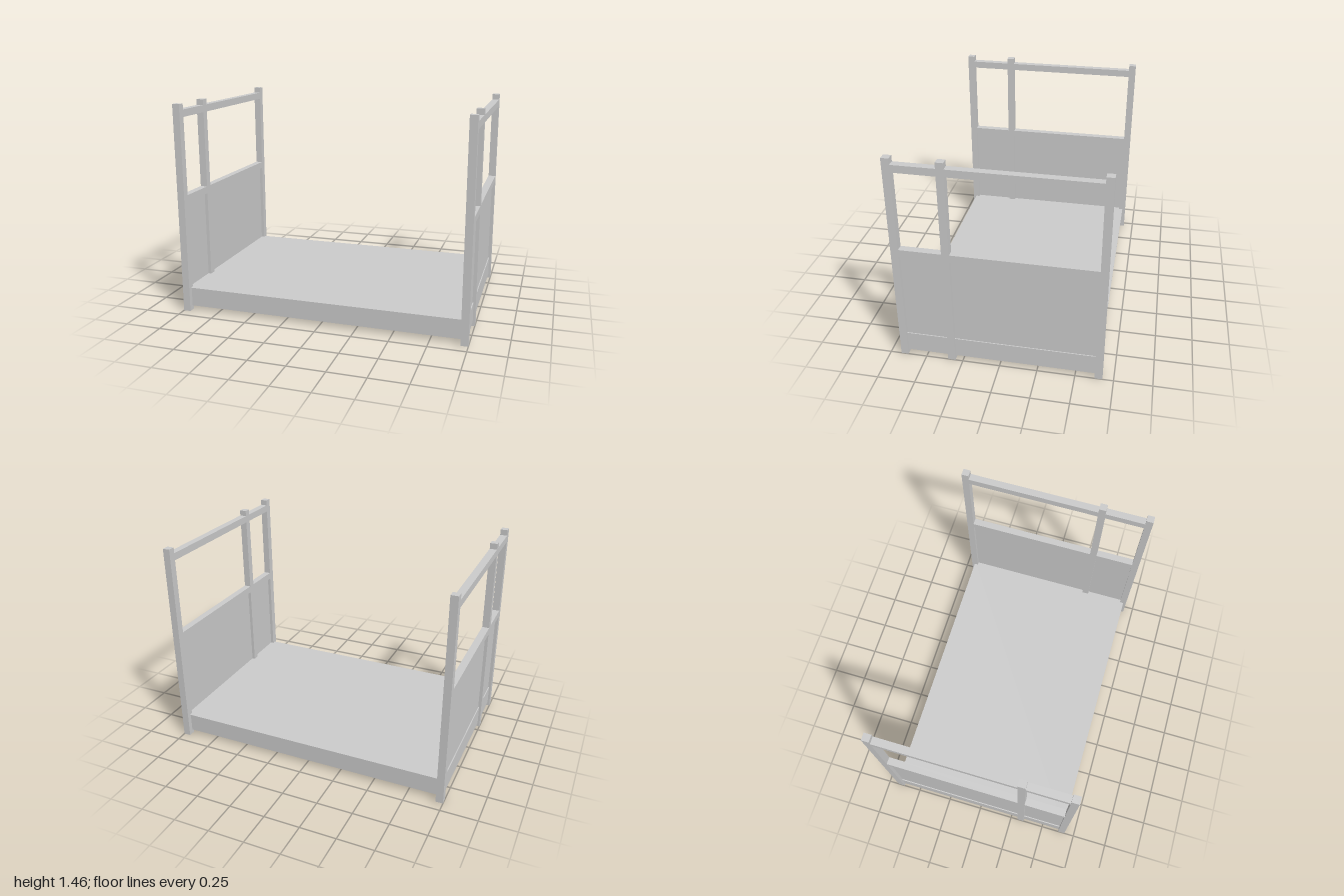
import * as THREE from 'three';

const material = new THREE.MeshStandardMaterial({ color: 0xcccccc, flatShading: true });

// Box given by its minimum and maximum on each axis
function addBox(parent, name, [x0, x1], [y0, y1], [z0, z1]) {
  const mesh = new THREE.Mesh(new THREE.BoxGeometry(x1 - x0, y1 - y0, z1 - z0), material);
  mesh.position.set((x0 + x1) / 2, (y0 + y1) / 2, (z0 + z1) / 2);
  mesh.name = name;
  parent.add(mesh);
}

const BAR = 0.05;          // post and rail thickness
const HEIGHT = 1.455;
const SKIRT = [0.03, 0.163];
const POSTS = [['backPost', -0.652], ['middlePost', 0.325], ['frontPost', 0.652]];

// One railing: three posts, rails, infill panels and skirts between them
function addSide(group, name, s) {
  const side = new THREE.Group();
  side.name = name;
  const span = (half) => [s * 0.975 - half, s * 0.975 + half];
  for (const [post, z] of POSTS) {
    addBox(side, post, span(BAR / 2), [0, HEIGHT], [z - BAR / 2, z + BAR / 2]);
  }
  for (let i = 0; i < 2; i++) {
    const bay = [POSTS[i][1] + BAR / 2, POSTS[i + 1][1] - BAR / 2];
    addBox(side, 'topRail', span(BAR / 2), [1.365, 1.415], bay);
    addBox(side, 'middleRail', span(BAR / 2), [0.78, 0.83], bay);
    addBox(side, 'panel', span(0.003), [0.163, 0.78], bay);
    addBox(side, 'sideSkirt', span(0.01), [SKIRT[0], 0.167], bay);
  }
  group.add(side);
}

export function createModel() {
  const group = new THREE.Group();
  group.name = 'railedPlatform';

  // Thin floor, open underneath
  addBox(group, 'floor', [-0.972, 0.972], [0.163, 0.167], [-0.655, 0.655]);

  // Skirts under the front and back edges
  addBox(group, 'frontSkirt', [-0.96, 0.96], SKIRT, [0.627, 0.643]);
  addBox(group, 'backSkirt', [-0.96, 0.96], SKIRT, [-0.643, -0.627]);

  addSide(group, 'leftRailing', 1);
  addSide(group, 'rightRailing', -1);
  return group;
}
